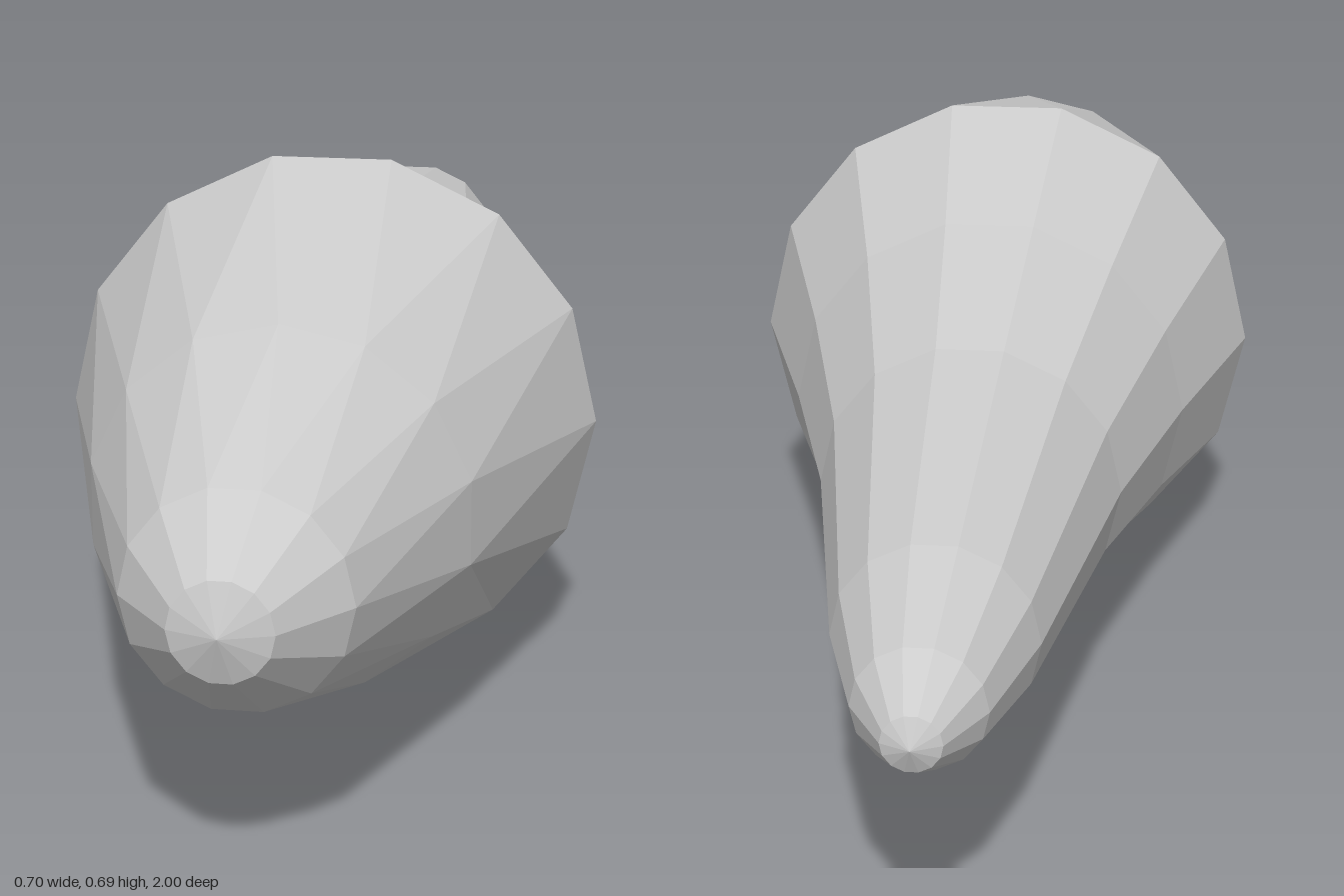
import * as THREE from 'three';

const SIDES = 14;
const CENTRE_Y = 0.344;

// Rings from the front tip to the back tip: [z, radius, turn in steps]
const RINGS = [
  [1.0, 0, 0], [0.98, 0.06, 0], [0.89, 0.133, 0], [0.61, 0.235, 0.5], [0.2, 0.352, 0],
  [-0.07, 0.267, 0], [-0.34, 0.195, 0], [-0.75, 0.123, 0], [-0.91, 0.078, 0],
  [-0.985, 0.035, 0], [-1.0, 0, 0],
];

export function createModel() {
  const positions = [];
  const point = (ring, k) => {
    const [z, r, turn] = RINGS[ring];
    const a = ((k + turn) / SIDES) * Math.PI * 2;
    return [r * Math.cos(a), CENTRE_Y + r * Math.sin(a), z];
  };
  const tri = (a, b, c) => positions.push(...a, ...b, ...c);

  for (let i = 0; i < RINGS.length - 1; i++) {
    const j = i + 1;
    for (let k = 0; k < SIDES; k++) {
      const f0 = point(i, k), f1 = point(i, k + 1);
      const b0 = point(j, k), b1 = point(j, k + 1);
      if (RINGS[i][1] === 0) {
        tri(f0, b0, b1); // front tip
      } else if (RINGS[j][1] === 0) {
        tri(f0, b0, f1); // back tip
      } else if (RINGS[j][2] > RINGS[i][2] || (i === 3 && k === 12)) {
        // band leading into the half-step ring, and one crease on the lower left flank
        tri(f0, b0, f1);
        tri(f1, b0, b1);
      } else {
        tri(f0, b0, b1);
        tri(f0, b1, f1);
      }
    }
  }

  const geometry = new THREE.BufferGeometry();
  geometry.setAttribute('position', new THREE.Float32BufferAttribute(positions, 3));
  geometry.computeVertexNormals();

  const body = new THREE.Mesh(
    geometry,
    new THREE.MeshStandardMaterial({ color: 0xcccccc, flatShading: true })
  );
  body.name = 'taperedBody';

  const group = new THREE.Group();
  group.name = 'spindle';
  group.add(body);
  return group;
}
